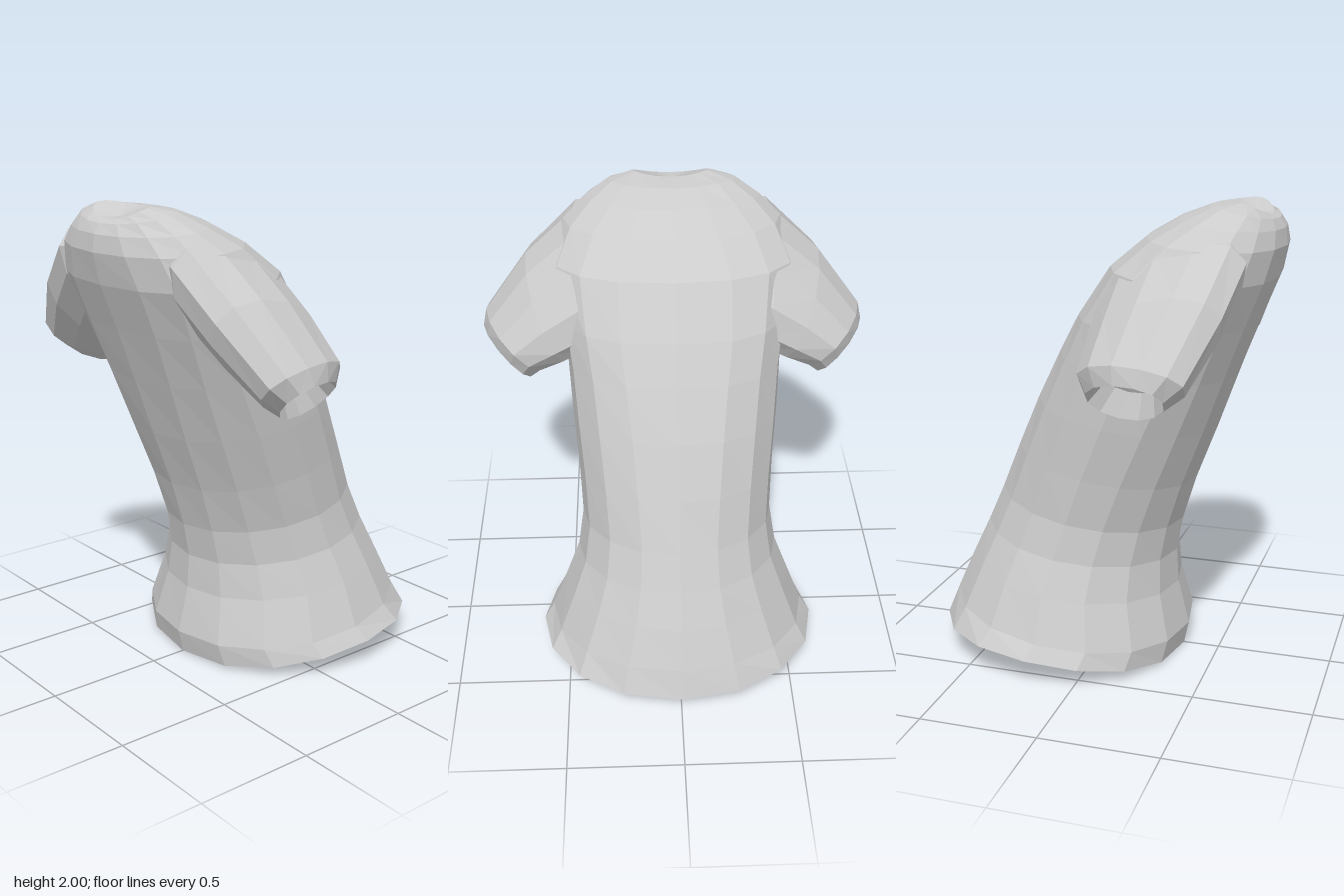
import * as THREE from 'three';

const material = new THREE.MeshStandardMaterial({
  color: 0xcccccc, flatShading: true, side: THREE.DoubleSide,
});

const V = (x, y, z) => new THREE.Vector3(x, y, z);

// Skin a list of closed rings (arrays of Vector3 of equal length)
function loft(rings, flip = false) {
  const n = rings[0].length;
  const index = [];
  for (let r = 0; r < rings.length - 1; r++) {
    for (let i = 0; i < n; i++) {
      const a = r * n + i, b = r * n + (i + 1) % n, c = a + n, d = b + n;
      if (flip) index.push(a, c, b, b, c, d);
      else index.push(a, b, c, b, d, c);
    }
  }
  const geometry = new THREE.BufferGeometry().setFromPoints(rings.flat());
  geometry.setIndex(index);
  geometry.computeVertexNormals();
  return geometry;
}

// Oval ring through front, back and two side points; power < 1 squares it off
function oval(front, back, sideA, sideB, n, power = 1) {
  const bend = (v) => Math.sign(v) * Math.abs(v) ** power;
  const ring = [];
  for (let i = 0; i < n; i++) {
    const t = (i / n) * Math.PI * 2, c = Math.cos(t), s = Math.sin(t);
    const p = V(0, 0, 0);
    p.addScaledVector(front, (c * c + bend(c)) / 2).addScaledVector(back, (c * c - bend(c)) / 2);
    p.addScaledVector(sideA, (s * s + bend(s)) / 2).addScaledVector(sideB, (s * s - bend(s)) / 2);
    ring.push(p);
  }
  return ring;
}

// Rings that close an opening with a shallow bowl reaching in by offset
function bowl(ring, offset) {
  const centre = V(0, 0, 0);
  ring.forEach((p) => centre.addScaledVector(p, 1 / ring.length));
  return [[0.7, 0.75], [0.001, 1]].map(([scale, depth]) =>
    ring.map((p) => p.clone().lerp(centre, 1 - scale).addScaledVector(offset, depth)));
}

// Leaning torso: front z, front y, back z, back y, half width, side lift, power
function torsoGeometry() {
  const sections = [
    [0.34, 0.0, -0.745, 0.12, 0.62, 0.055, 0.93],
    [0.36, 0.1, -0.70, 0.25, 0.575, 0, 0.95],
    [0.31, 0.3, -0.63, 0.42, 0.505, 0, 1],
    [0.30, 0.45, -0.56, 0.57, 0.445, 0, 1],
    [0.325, 0.6, -0.49, 0.73, 0.42, 0, 1],
    [0.385, 0.8, -0.40, 0.94, 0.43, 0, 0.95],
    [0.475, 1.04, -0.30, 1.16, 0.45, 0, 0.9],
    [0.56, 1.28, -0.19, 1.37, 0.465, 0, 0.82],
    [0.64, 1.5, -0.10, 1.53, 0.49, 0, 0.78],
    [0.715, 1.69, 0.04, 1.74, 0.53, 0, 0.85],
    [0.745, 1.82, 0.18, 1.86, 0.47, 0, 0.95],
    [0.735, 1.89, 0.31, 1.935, 0.38, 0, 1],
    [0.71, 1.93, 0.43, 1.98, 0.28, 0.015, 1],
    [0.68, 1.945, 0.53, 1.99, 0.17, 0.025, 1],
    [0.62, 1.95, 0.615, 1.95, 0.005, 0, 1], // shallow dent closing the neck
  ];
  const rings = sections.map(([fz, fy, bz, by, w, lift, power]) => {
    const y = (fy + by) / 2 + lift, z = (fz + bz) / 2;
    return oval(V(0, fy, fz), V(0, by, bz), V(w, y, z), V(-w, y, z), 16, power);
  });
  return loft([...bowl(rings[0], V(0, 0.12, 0.03)).reverse(), ...rings]);
}

// Short sleeve for side +1 or -1: top, bottom, front and back of each ring
function sleeveGeometry(side) {
  const sections = [
    [[0.25, 1.88, 0.48], [0.25, 1.45, 0.3], [0.25, 1.7, 0.58], [0.25, 1.66, 0.15]],
    [[0.43, 1.87, 0.47], [0.38, 1.36, 0.24], [0.38, 1.68, 0.635], [0.41, 1.6, 0.06]],
    [[0.64, 1.69, 0.43], [0.47, 1.31, 0.22], [0.55, 1.52, 0.59], [0.56, 1.5, 0.065]],
    [[0.825, 1.455, 0.36], [0.58, 1.25, 0.22], [0.73, 1.34, 0.505], [0.69, 1.39, 0.07]],
    [[0.84, 1.385, 0.34], [0.63, 1.21, 0.22], [0.75, 1.285, 0.43], [0.71, 1.32, 0.11]],
  ];
  const at = ([x, y, z]) => V(x * side, y, z);
  const rings = sections.map(([top, bottom, front, back]) =>
    oval(at(front), at(back), at(top), at(bottom), 12));
  const inside = bowl(rings.at(-1), V(-0.07 * side, 0.1, 0.02));
  return loft([...rings, ...inside], side > 0);
}

export function createModel() {
  const group = new THREE.Group();
  group.name = 'shirt';
  const add = (name, geometry) => {
    const mesh = new THREE.Mesh(geometry, material);
    mesh.name = name;
    group.add(mesh);
  };
  add('torso', torsoGeometry());
  add('leftSleeve', sleeveGeometry(1));
  add('rightSleeve', sleeveGeometry(-1));
  return group;
}
